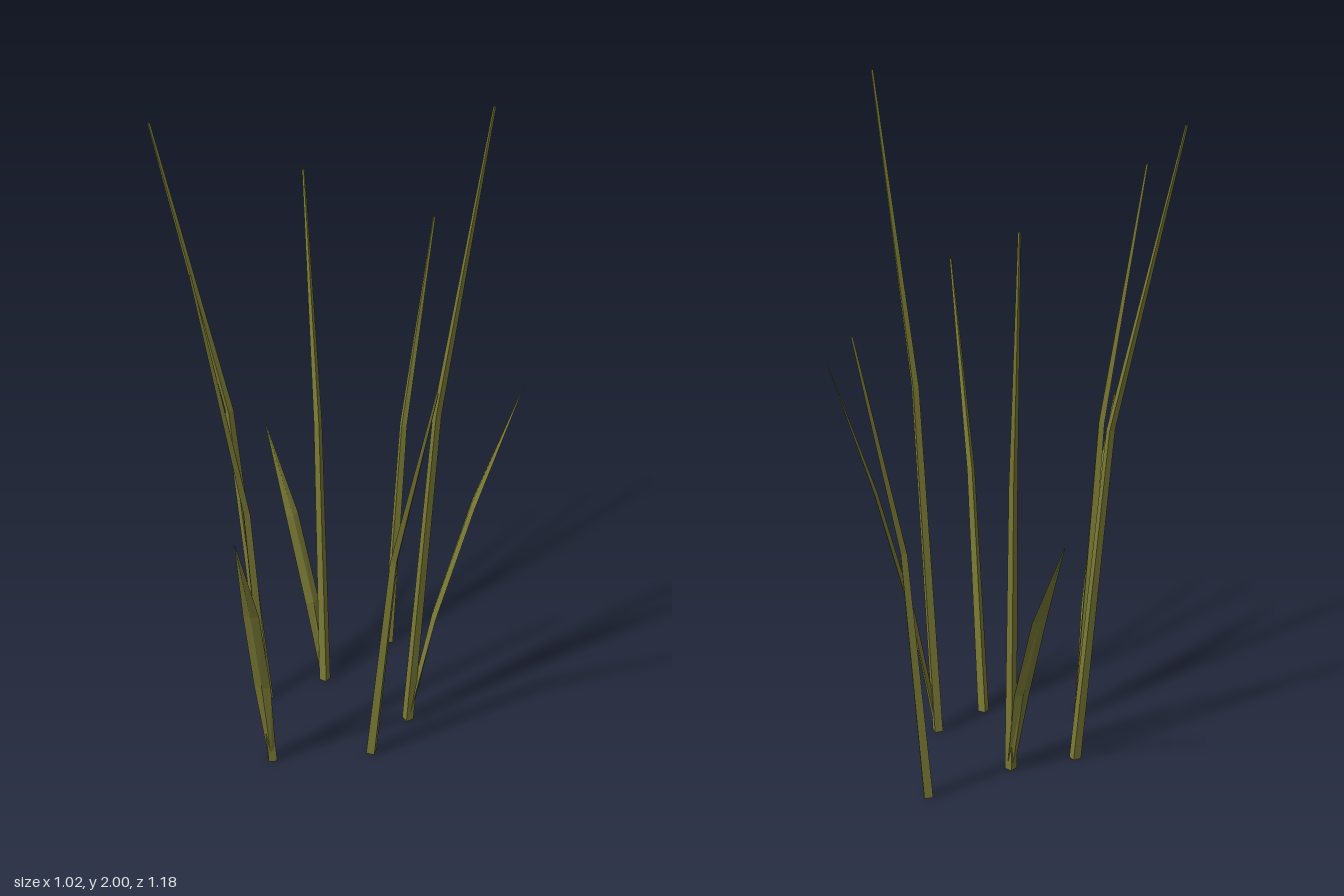
import * as THREE from 'three';

const olive = new THREE.MeshStandardMaterial({ color: 0x7a7a36, flatShading: true });
olive.name = 'olive reed';

// Sweep a four-sided diamond section along a bent spine.
// deep = half size along the lean, wide = half size across it.
function blade(name, spine, deep, wide) {
  const first = spine[0], last = spine[spine.length - 1];
  const lean = new THREE.Vector2(last[0] - first[0], last[2] - first[2]).normalize();
  const pos = [], index = [];
  spine.forEach(([x, y, z], i) => {
    for (let k = 0; k < 4; k++) {
      const a = Math.round(Math.cos(k * Math.PI / 2)) * deep[i];
      const b = Math.round(Math.sin(k * Math.PI / 2)) * wide[i];
      pos.push(x + lean.x * a - lean.y * b, y, z + lean.y * a + lean.x * b);
    }
  });
  // side faces
  for (let i = 0; i < spine.length - 1; i++) {
    for (let k = 0; k < 4; k++) {
      const a = i * 4 + k, b = i * 4 + (k + 1) % 4;
      index.push(a, a + 4, b, b, a + 4, b + 4);
    }
  }
  // bottom and top caps
  const t = (spine.length - 1) * 4;
  index.push(0, 1, 2, 0, 2, 3, t, t + 2, t + 1, t, t + 3, t + 2);
  let geo = new THREE.BufferGeometry();
  geo.setAttribute('position', new THREE.Float32BufferAttribute(pos, 3));
  geo.setIndex(index);
  geo = geo.toNonIndexed();
  geo.computeVertexNormals();
  const mesh = new THREE.Mesh(geo, olive);
  mesh.name = name;
  return mesh;
}

export function createModel() {
  const group = new THREE.Group();
  group.name = 'reeds';

  // tall stems: base, bend, tip
  const stems = [
    [[-0.237, 0, 0], [-0.325, 1.04, -0.003], [-0.51, 1.89, -0.005]],
    [[0.115, 0, 0.215], [0.18, 0.77, 0.305], [0.292, 1.395, 0.468]],
    [[-0.178, 0, 0.283], [-0.215, 0.94, 0.37], [-0.305, 1.705, 0.515]],
    [[-0.069, 0, -0.114], [-0.095, 0.91, -0.188], [-0.15, 1.65, -0.332]],
    [[0.114, 0, -0.335], [0.143, 0.78, -0.423], [0.21, 1.415, -0.587]],
    [[0.212, 0, 0.048], [0.272, 1.1, 0.06], [0.39, 2, 0.078]],
  ];
  stems.forEach((s, i) => {
    const r = [0.018, 0.0125, 0.004];
    group.add(blade('stem' + (i + 1), s, r, r));
  });

  // short curved leaves that widen in the middle
  const leaves = [
    [[0.212, 0, 0.048], [0.282, 0.39, 0.03], [0.383, 0.78, 0.006], [0.508, 1.165, -0.025]],
    [[-0.178, 0, 0.283], [-0.19, 0.33, 0.35], [-0.197, 0.66, 0.455], [-0.208, 0.985, 0.588]],
    [[-0.069, 0, -0.114], [-0.115, 0.27, -0.162], [-0.185, 0.54, -0.236], [-0.28, 0.81, -0.338]],
  ];
  leaves.forEach((s, i) => {
    group.add(blade('leaf' + (i + 1), s, [0.009, 0.008, 0.006, 0.001], [0.012, 0.025, 0.023, 0.001]));
  });
  return group;
}
